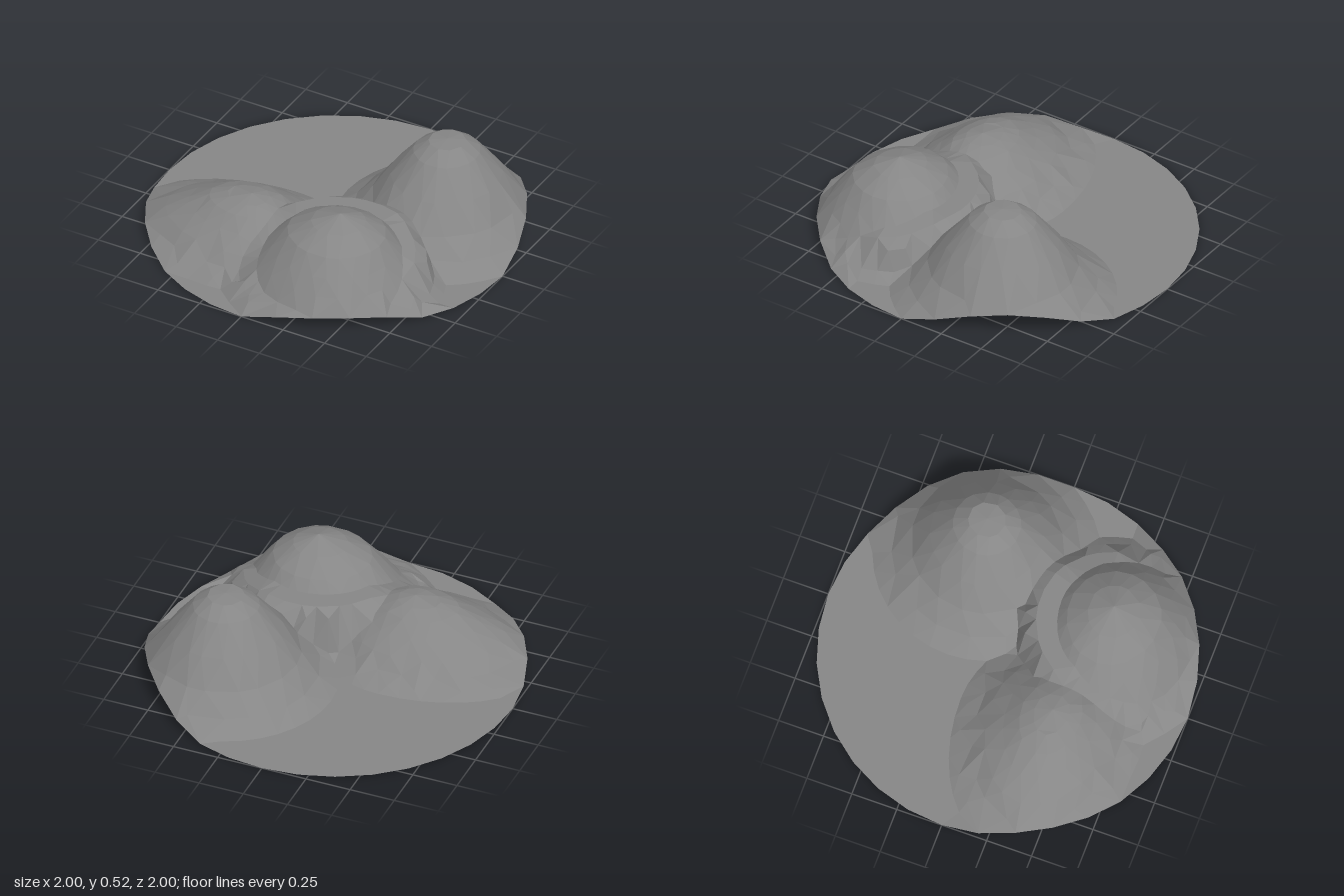
import * as THREE from 'three';

// Each hill: centre, reach towards each side, spokes of vertices, and [radius, height] profile
const HILLS = [
  { // tall back hill
    x: 0.5, z: -0.3, left: 1, right: 0.95, back: 1, front: 1, spokes: 18,
    points: [[0, 0.525], [0.1, 0.515], [0.18, 0.455], [0.3, 0.31], [0.4, 0.17], [0.5, 0.07], [0.6, 0]],
  },
  { // long low hill
    x: -0.3, z: 0.36, left: 0.73, right: 0.5, back: 0.5, front: 0.47, spokes: 20,
    points: [[0, 0.3], [0.19, 0.28], [0.33, 0.25], [0.49, 0.19], [0.67, 0.125], [0.79, 0.065], [0.93, 0.03], [1.02, 0]],
  },
  { // front dome
    x: 0.3, z: 0.48, left: 1.15, right: 0.96, back: 0.97, front: 1, spokes: 18,
    points: [[0, 0.445], [0.14, 0.395], [0.25, 0.325], [0.32, 0.24], [0.38, 0.16], [0.43, 0.08], [0.52, 0.045], [0.57, 0]],
  },
  { // steep-edged shelf around the dome, lower at the front and right
    x: 0.28, z: 0.5, left: 1, right: 1, back: 1, front: 1, spokes: 28,
    points: [[0, 1], [0.42, 1], [0.48, 0.87], [0.535, 0]],
    top: (x, z) => Math.max(0.03, 0.27 - 0.4 * Math.max(0, z - 0.38) - 0.35 * Math.max(0, x - 0.45)),
  },
];

// Straight-line interpolation through the profile points
function profile(points, r) {
  for (let i = 1; i < points.length; i++) {
    const [r0, h0] = points[i - 1], [r1, h1] = points[i];
    if (r <= r1) return h0 + (h1 - h0) * (r - r0) / (r1 - r0);
  }
  return 0;
}

function hillHeight(hill, x, z) {
  const dx = x - hill.x, dz = z - hill.z;
  const r = Math.hypot(dx / (dx < 0 ? hill.left : hill.right), dz / (dz < 0 ? hill.back : hill.front));
  return profile(hill.points, r) * (hill.top ? hill.top(x, z) : 1);
}

function spokePoint(hill, angle, r) {
  const c = Math.cos(angle), s = Math.sin(angle);
  return [hill.x + r * c * (c < 0 ? hill.left : hill.right), hill.z + r * s * (s < 0 ? hill.back : hill.front)];
}

// The hill on top at a place, or undefined on bare ground
function topHill([x, z]) {
  let best, bestHeight = 1e-6;
  for (const hill of HILLS) {
    const h = hillHeight(hill, x, z);
    if (h > bestHeight) [best, bestHeight] = [hill, h];
  }
  return best;
}

// Plan positions of the vertices: rim, then seams between hills, then rings on each hill
function planPoints() {
  const points = [];
  for (let i = 0; i < 32; i++) {
    const a = i * Math.PI / 16, r = 1 - 1e-4 * Math.abs(Math.sin(i * 5.3));
    points.push([r * Math.cos(a), r * Math.sin(a)]);
  }
  const add = (p, gap) => {
    if (Math.hypot(...p) > 0.96) return;
    if (points.every((q) => Math.hypot(p[0] - q[0], p[1] - q[1]) > gap)) points.push(p);
  };
  for (const hill of HILLS) {
    for (let s = 0; s < hill.spokes * 2; s++) {
      const angle = s * Math.PI / hill.spokes;
      let wasTop = topHill(spokePoint(hill, angle, 0)) === hill;
      for (let r = 0.005; r < 1.1; r += 0.005) {
        const p = spokePoint(hill, angle, r);
        const isTop = topHill(p) === hill;
        if (isTop !== wasTop) add(p, 0.045);
        wasTop = isTop;
      }
    }
  }
  for (const hill of HILLS) {
    hill.points.forEach(([r], ring) => {
      for (let s = 0; s < hill.spokes; s++) {
        const angle = (s + (ring % 2) / 2 + 0.15 * Math.sin(s * 3.7 + ring)) * 2 * Math.PI / hill.spokes;
        const p = spokePoint(hill, angle, r);
        if (topHill(p) === hill) add(p, 0.04);
      }
    });
  }
  return points;
}

function circumcircle([ax, az], [bx, bz], [cx, cz]) {
  const ux = bx - ax, uz = bz - az, vx = cx - ax, vz = cz - az;
  const d = 2 * (ux * vz - uz * vx), u = ux * ux + uz * uz, v = vx * vx + vz * vz;
  const x = (vz * u - uz * v) / d, z = (ux * v - vx * u) / d;
  return { x: ax + x, z: az + z, r2: x * x + z * z };
}

// Delaunay triangulation by adding one point at a time
function triangulate(points) {
  const outer = [[-1000, -1000], [0, 1000], [1000, -1000]];
  const make = (a, b, c) => ({ corners: [a, b, c], circle: circumcircle(a, b, c) });
  let triangles = [make(...outer)];
  for (const p of points) {
    const edges = [], kept = [];
    for (const t of triangles) {
      const { x, z, r2 } = t.circle;
      if ((p[0] - x) ** 2 + (p[1] - z) ** 2 < r2) {
        t.corners.forEach((a, i) => edges.push([a, t.corners[(i + 1) % 3]]));
      } else kept.push(t);
    }
    for (const [a, b] of edges) {
      if (!edges.some(([c, d]) => c === b && d === a)) kept.push(make(a, b, p));
    }
    triangles = kept;
  }
  return triangles.map((t) => t.corners).filter((corners) => !corners.some((c) => outer.includes(c)));
}

export function createModel() {
  const group = new THREE.Group();
  group.name = 'hillyTerrain';

  // One open faceted sheet: a 32-sided disc raised by the tallest hill at each vertex
  const positions = [];
  for (const corners of triangulate(planPoints())) {
    for (const [x, z] of corners) {
      positions.push(x, Math.max(0, ...HILLS.map((hill) => hillHeight(hill, x, z))), z);
    }
  }
  const geometry = new THREE.BufferGeometry();
  geometry.setAttribute('position', new THREE.Float32BufferAttribute(positions, 3));
  geometry.computeVertexNormals();

  const material = new THREE.MeshStandardMaterial({
    color: 0x868686, flatShading: true, side: THREE.DoubleSide,
  });
  const terrain = new THREE.Mesh(geometry, material);
  terrain.name = 'terrainSheet';
  group.add(terrain);
  return group;
}
